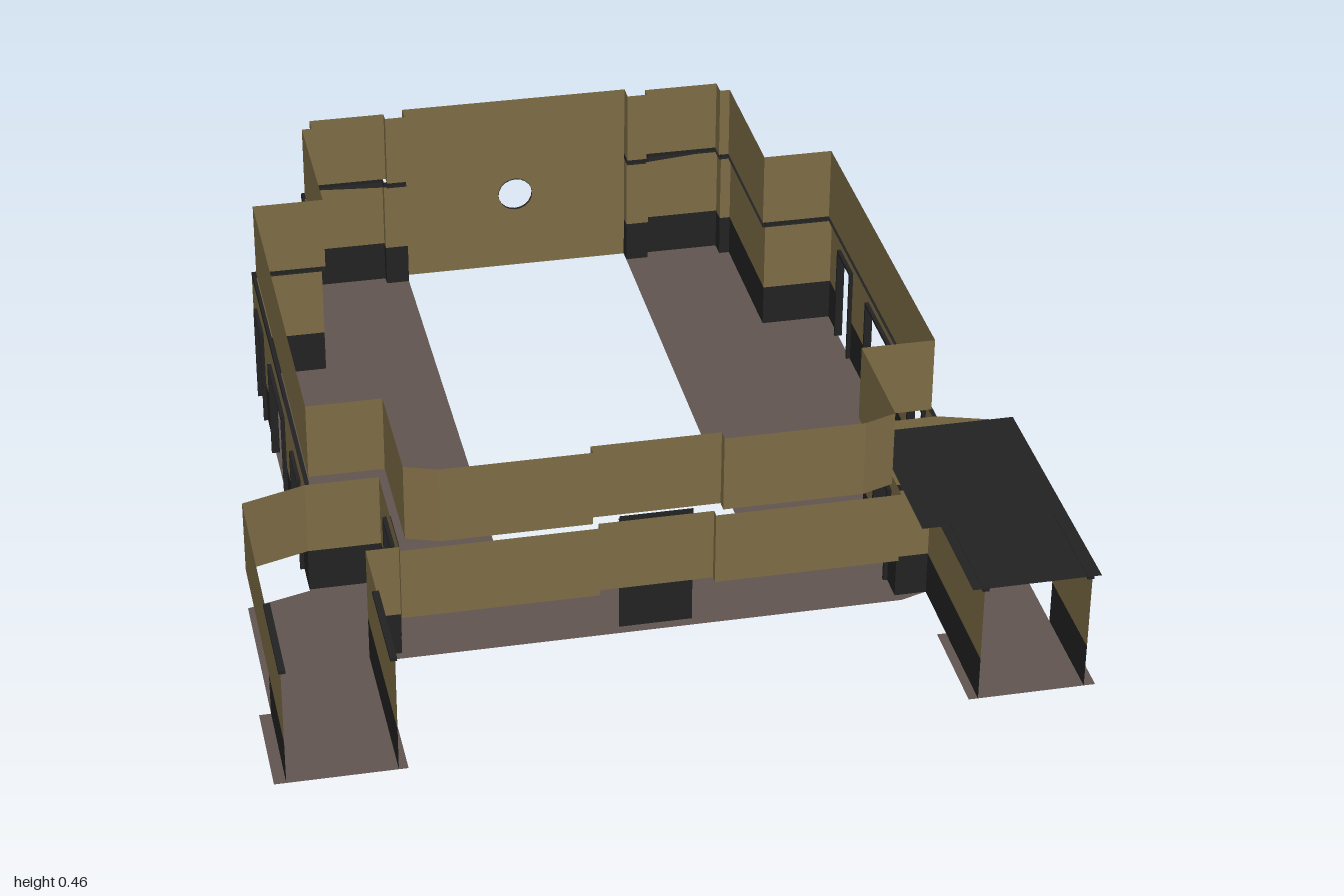
import * as THREE from 'three';

const mat = (name, color) => {
  const m = new THREE.MeshStandardMaterial({ color, side: THREE.DoubleSide });
  m.name = name;
  return m;
};

export function createModel() {
  const tan = mat('tan wall', 0x7d6b45);
  const black = mat('black trim', 0x222222);
  const brown = mat('brown floor', 0x60554f);
  const root = new THREE.Group();
  root.name = 'building';

  const add = (parent, name, geo, material) => {
    const m = new THREE.Mesh(geo, material);
    m.name = name;
    parent.add(m);
    return m;
  };

  // Thin vertical wall following a plan path of [x, z] points
  const wall = (parent, name, path, y0, y1, material) => {
    const pos = [];
    for (let i = 0; i < path.length - 1; i++) {
      const [ax, az] = path[i], [bx, bz] = path[i + 1];
      pos.push(ax, y0, az, bx, y0, bz, bx, y1, bz, ax, y0, az, bx, y1, bz, ax, y1, az);
    }
    const g = new THREE.BufferGeometry();
    g.setAttribute('position', new THREE.Float32BufferAttribute(pos, 3));
    g.computeVertexNormals();
    return add(parent, name, g, material);
  };

  // Flat horizontal plate from a plan outline
  const plate = (parent, name, outline, y, material) => {
    const g = new THREE.ShapeGeometry(new THREE.Shape(outline.map(([x, z]) => new THREE.Vector2(x, -z))));
    g.rotateX(-Math.PI / 2);
    g.translate(0, y, 0);
    return add(parent, name, g, material);
  };

  // Flat ledge between two plan paths of equal length
  const ledge = (parent, name, a, b, y) => plate(parent, name, [...a, ...[...b].reverse()], y, black);

  const BASE = 0.1, DOOR = 0.23, MID = 0.27, UP = 0.283, TOP = 0.46;

  // U-shaped floor with two front wings
  const half = [[0.275, -1], [0.54, -1], [0.7, -0.6], [0.7, 0.33], [0.84, 0.37], [0.84, 0.76], [0.865, 0.76],
    [0.865, 1], [0.59, 1], [0.59, 0.76], [0.61, 0.76], [0.61, 0.6], [0.55, 0.62]];
  const flip = (p) => p.map(([x, z]) => [-x, z]);
  plate(root, 'floor', [[0.275, 0.41], ...half, ...flip(half).reverse(), [-0.275, 0.41]], 0, brown);

  // Wall along z with door openings: black base, tan above, black frames
  const doorWall = (parent, name, x, z0, z1, doors) => {
    let z = z0;
    for (const [a, b] of [...doors, [z1, z1]]) {
      wall(parent, name + 'Base', [[x, z], [x, a]], 0, BASE, black);
      wall(parent, name, [[x, z], [x, a]], BASE, DOOR, tan);
      z = b;
    }
    wall(parent, name + 'Header', [[x, z0], [x, z1]], DOOR, MID, tan);
    for (const [a, b] of doors) {
      for (const e of [a, b]) {
        const jamb = add(parent, 'doorJamb', new THREE.BoxGeometry(0.018, DOOR, 0.008), black);
        jamb.position.set(x, DOOR / 2, e);
      }
      const head = add(parent, 'doorHead', new THREE.BoxGeometry(0.018, 0.008, b - a + 0.008), black);
      head.position.set(x, DOOR, (a + b) / 2);
    }
  };

  for (const s of [1, -1]) {
    const side = new THREE.Group();
    side.name = s > 0 ? 'leftSide' : 'rightSide';
    root.add(side);
    const P = (pts) => pts.map(([x, z]) => [x * s, z]);

    // Side wall and inner wing doorway
    doorWall(side, 'sideWall', 0.7 * s, -0.59, 0.325, [[-0.5, -0.39], [-0.245, -0.02], [0.13, 0.24]]);
    doorWall(side, 'wingDoorWall', 0.54 * s, 0.325, 0.6, [[0.43, 0.535]]);

    // Stepped back corner, lower and upper
    const backLow = P([[0.7, -0.59], [0.535, -0.59], [0.535, -0.95], [0.51, -0.95], [0.51, -0.99],
      [0.33, -0.99], [0.33, -0.965], [0.275, -0.965], [0.275, -1]]);
    const backUp = P([[0.69, -0.583], [0.527, -0.583], [0.527, -0.942], [0.503, -0.942], [0.503, -0.982],
      [0.323, -0.982], [0.323, -0.957], [0.275, -0.957], [0.275, -1]]);
    wall(side, 'backCornerBase', backLow, 0, BASE, black);
    wall(side, 'backCorner', backLow, BASE, MID, tan);
    wall(side, 'cornerTrim', [[0.7 * s, -0.02], ...backLow], MID, UP, black);
    ledge(side, 'cornerLedge', backLow.slice(0, 8), backUp.slice(0, 8), MID);
    ledge(side, 'sideLedge', P([[0.7, -0.59], [0.7, 0.325]]), P([[0.69, -0.59], [0.69, 0.325]]), MID);
    wall(side, 'upperBackCorner', backUp, UP, TOP, tan);

    // Upper side wall and front step
    wall(side, 'upperSideWall', P([[0.69, -0.583], [0.69, 0.315], [0.525, 0.315], [0.525, 0.59], [0.455, 0.615]]),
      UP, TOP, tan);

    // Front step and wing walls
    const step = P([[0.7, 0.325], [0.54, 0.325]]);
    wall(side, 'stepBase', step, 0, BASE, black);
    wall(side, 'stepWall', step, BASE, MID, tan);
    wall(side, 'wingOuterWall', P([[0.7, 0.325], [0.84, 0.37], [0.84, 1]]), BASE, MID, tan);
    wall(side, 'wingOuterBase', P([[0.84, 0.76], [0.84, 1]]), 0, BASE, black);
    const inner = P([[0.54, 0.6], [0.61, 0.6], [0.61, 1]]);
    wall(side, 'wingInnerWall', inner, BASE, MID, tan);
    wall(side, 'wingInnerBase', inner, 0, BASE, black);
    for (const x of [0.837, 0.613]) {
      const cap = add(side, 'wingTrim', new THREE.BoxGeometry(0.014, 0.008, 0.24), black);
      cap.position.set(x * s, MID + 0.003, 0.88);
    }
  }

  // Front wall with a slightly recessed middle
  wall(root, 'frontLowerWall', [[-0.54, 0.6], [-0.54, 0.615], [-0.115, 0.615], [-0.115, 0.597],
    [0.135, 0.597], [0.135, 0.615], [0.54, 0.615], [0.54, 0.6]], BASE, MID, tan);
  wall(root, 'frontUpperWall', [[-0.455, 0.615], [-0.13, 0.615], [-0.13, 0.59],
    [0.15, 0.59], [0.15, 0.615], [0.455, 0.615]], UP, TOP, tan);
  wall(root, 'frontBase', [[-0.07, 0.597], [0.09, 0.597]], 0, BASE, black);
  wall(root, 'frontTrim', [[-0.07, 0.597], [0.09, 0.597]], MID, UP, black);
  ledge(root, 'frontLedge', [[-0.07, 0.597], [0.09, 0.597]], [[-0.07, 0.585], [0.09, 0.585]], MID);

  // Full-height back wall with a round window
  const back = new THREE.Shape([[-0.275, 0], [0.275, 0], [0.275, TOP], [-0.275, TOP]]
    .map(([x, y]) => new THREE.Vector2(x, y)));
  back.holes.push(new THREE.Path().absarc(0, 0.2, 0.042, 0, Math.PI * 2, true));
  add(root, 'backWall', new THREE.ShapeGeometry(back, 12), tan).position.z = -0.996;
  const rim = add(root, 'windowRim', new THREE.CylinderGeometry(0.042, 0.042, 0.008, 20, 1, true), black);
  rim.rotation.x = Math.PI / 2;
  rim.position.set(0, 0.2, -0.996);

  // Flat roof over the left wing
  plate(root, 'wingRoof', [[0.545, 0.37], [0.86, 0.37], [0.86, 1], [0.585, 1], [0.585, 0.76], [0.545, 0.76]],
    0.276, black);

  return root;
}
